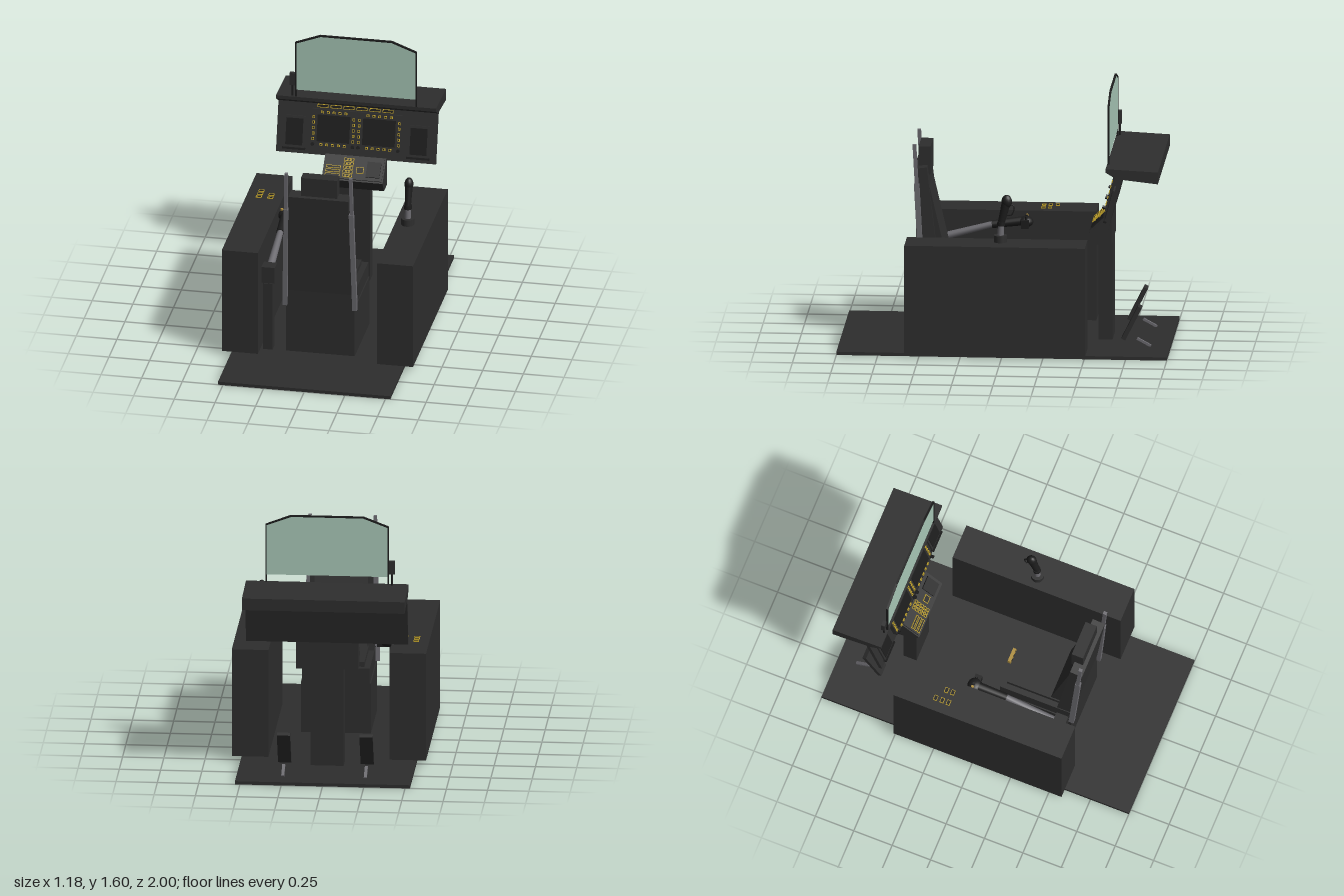
import * as THREE from 'three';

const mat = (name, color, extra = {}) => Object.assign(new THREE.MeshStandardMaterial({ color, ...extra }), { name });

export function createModel() {
  const dark = mat('charcoal', 0x2e2e2e);
  const black = mat('black', 0x1d1d1d);
  const grey = mat('rail grey', 0x6c6b70);
  const yellow = mat('marking yellow', 0xc9a92c);
  const gold = mat('handle gold', 0xb08f3e);
  const glassMat = mat('pale green glass', 0xa9c9b8);

  const model = new THREE.Group();
  const add = (name, geo, material, parent = model) => {
    const m = new THREE.Mesh(geo, material);
    m.name = name;
    parent.add(m);
    return m;
  };
  const group = (name, parent = model) => {
    const g = new THREE.Group();
    g.name = name;
    parent.add(g);
    return g;
  };
  // box given by its ranges on each axis
  const box = (name, x0, x1, y0, y1, z0, z1, material = dark, parent = model) => {
    const m = add(name, new THREE.BoxGeometry(x1 - x0, y1 - y0, z1 - z0), material, parent);
    m.position.set((x0 + x1) / 2, (y0 + y1) / 2, (z0 + z1) / 2);
    return m;
  };
  const shapeOf = pts => new THREE.Shape(pts.map(p => new THREE.Vector2(...p)));
  const extrude = (shape, depth) => new THREE.ExtrudeGeometry(shape, { depth, bevelEnabled: false });
  // side profile of (z, y) points, extruded across x and centred
  const profile = (name, pts, width, material = dark, parent = model) => {
    const geo = extrude(shapeOf(pts), width).rotateY(-Math.PI / 2).translate(width / 2, 0, 0);
    return add(name, geo, material, parent);
  };
  // bar or round rod between two points
  const rod = (name, a, b, r, material, parent = model, r2 = r, sides = 16) => {
    const p = new THREE.Vector3(...a), q = new THREE.Vector3(...b), d = q.clone().sub(p);
    const m = add(name, new THREE.CylinderGeometry(r2, r, d.length(), sides), material, parent);
    m.position.copy(p).add(q).multiplyScalar(0.5);
    m.quaternion.setFromUnitVectors(new THREE.Vector3(0, 1, 0), d.normalize());
    return m;
  };
  const bar = (name, a, b, w, t, material, parent = model) => {
    const m = rod(name, a, b, 1, material, parent);
    const len = new THREE.Vector3(...a).distanceTo(new THREE.Vector3(...b));
    m.geometry = new THREE.BoxGeometry(w, len, t);
    return m;
  };
  // dark key with a thin yellow outline, lying in the xy plane facing +z
  const key = (parent, x, y, z, w, h, t = 0.003) => {
    box('key', x - w / 2 + t, x + w / 2 - t, y - h / 2 + t, y + h / 2 - t, z, z + 0.004, black, parent);
    const s = shapeOf([[-w / 2, -h / 2], [w / 2, -h / 2], [w / 2, h / 2], [-w / 2, h / 2]]);
    const a = w / 2 - t, b = h / 2 - t;
    s.holes.push(new THREE.Path([[-a, -b], [-a, b], [a, b], [a, -b]].map(p => new THREE.Vector2(...p))));
    add('keyOutline', extrude(s, 0.006), yellow, parent).position.set(x, y, z);
  };

  // floor and side consoles
  box('floor', -0.53, 0.53, 0, 0.02, -1, 1);
  box('rightConsole', -0.588, -0.366, 0.025, 0.7, -0.508, 0.585);
  box('leftConsole', 0.366, 0.588, 0.025, 0.7, -0.508, 0.585);
  const consoleKeys = group('consoleKeys');
  consoleKeys.rotation.x = -Math.PI / 2;
  for (const [x, z] of [[-0.51, -0.265], [-0.51, -0.222], [-0.51, -0.182], [-0.44, -0.222], [-0.44, -0.182]])
    key(consoleKeys, x, -z, 0.7, 0.034, 0.024);

  // centre pedestal with sloped keypad
  box('pedestal', -0.1, 0.1, 0.02, 0.635, -0.64, -0.555);
  profile('pedestalHead', [[-0.503, 0.7], [-0.55, 0.63], [-0.64, 0.63], [-0.64, 0.81], [-0.625, 0.815]], 0.375);
  const keypad = group('keypad');
  keypad.position.set(0, 0.7, -0.503);
  keypad.rotation.x = -0.815;
  box('keypadPlate', -0.18, 0.18, 0.01, 0.155, 0, 0.008, dark, keypad);
  for (let r = 0; r < 5; r++) {
    for (let c = 0; c < 3; c++) key(keypad, -0.055 + c * 0.021, 0.03 + r * 0.026, 0.008, 0.018, 0.02);
    if (r < 3) key(keypad, -0.125, 0.03 + r * 0.026, 0.008, 0.09, 0.018);
  }
  key(keypad, 0.04, 0.07, 0.008, 0.045, 0.04);
  box('keypadScreen', 0.08, 0.165, 0.03, 0.13, 0.008, 0.016, black, keypad);

  // tilted instrument panel
  const panel = group('instrumentPanel');
  panel.position.set(0, 0.808, -0.622);
  panel.rotation.x = -0.26;
  box('panelBoard', -0.491, 0.491, -0.005, 0.32, -0.022, 0, dark, panel);
  for (const s of [-1, 1]) {
    const side = group('sideDisplay', panel);
    side.position.x = s * 0.382;
    box('sideBezel', -0.065, 0.065, 0.03, 0.225, 0, 0.012, dark, side);
    box('sideScreen', -0.052, 0.052, 0.045, 0.21, 0.012, 0.016, black, side);
    box('sideLedge', -0.07, 0.07, 0.018, 0.03, 0, 0.02, black, side);

    // main display with five keys along each edge
    const mfd = group('mainDisplay', panel);
    mfd.position.set(s * 0.14, 0.165, 0);
    box('displayBezel', -0.137, 0.137, -0.115, 0.115, 0, 0.03, dark, mfd);
    box('displayScreen', -0.1, 0.1, -0.082, 0.082, 0.03, 0.034, black, mfd);
    for (let i = -2; i <= 2; i++)
      for (const e of [-1, 1]) {
        key(mfd, i * 0.036, e * 0.1, 0.03, 0.017, 0.014);
        key(mfd, e * 0.123, i * 0.034, 0.03, 0.014, 0.017);
      }
    for (const e of [-1, 1])
      rod('displayKnob', [e * 0.123, -0.1, 0.03], [e * 0.123, -0.1, 0.05], 0.01, black, mfd);
  }
  for (let i = 0; i < 6; i++) key(panel, -0.215 + i * 0.08, 0.298, 0.004, 0.065, 0.02);

  // glare shield
  profile('glareShield', [[-0.627, 1.174], [-0.627, 1.152], [-0.69, 1.113], [-0.943, 1.085], [-0.943, 1.158]], 0.985);

  // head-up glass and its frame
  const hud = group('headUpDisplay');
  hud.position.z = -0.642;
  const glass = shapeOf([[-0.366, 1.22], [0.366, 1.22], [0.366, 1.53], [0.218, 1.586], [-0.218, 1.586], [-0.366, 1.53]]);
  add('glass', extrude(glass, 0.006), glassMat, hud).position.z = 0.003;
  const frame = shapeOf([[-0.374, 1.165], [-0.366, 1.165], [-0.366, 1.531], [-0.218, 1.587], [0.218, 1.587], [0.366, 1.531],
    [0.366, 1.165], [0.374, 1.165], [0.374, 1.538], [0.221, 1.597], [-0.221, 1.597], [-0.374, 1.538]]);
  add('glassFrame', extrude(frame, 0.012), black, hud);

  // small standby instrument beside the glass
  rod('standbyPost', [-0.394, 1.165, -0.648], [-0.394, 1.25, -0.648], 0.006, black);
  box('standbyInstrument', -0.411, -0.376, 1.245, 1.325, -0.66, -0.638, dark);

  // seat
  const seat = group('seat');
  box('seatBase', -0.212, 0.212, 0.02, 0.335, 0.03, 0.495, dark, seat);
  box('seatPan', -0.205, 0.205, 0.335, 0.43, 0.03, 0.495, dark, seat);
  box('seatCushion', -0.17, 0.17, 0.43, 0.46, 0.063, 0.45, dark, seat);
  const shell = profile('backrestShell', [[0.5, 0.43], [0.556, 1.08], [0.478, 1.09], [0.4, 0.43]], 0.4, dark, seat);
  const p = shell.geometry.attributes.position;
  for (let i = 0; i < p.count; i++) p.setX(i, p.getX(i) * (1 - 0.08 * (p.getY(i) - 0.43) / 0.65));
  shell.geometry.computeVertexNormals();
  profile('backCushion', [[0.47, 0.46], [0.5, 0.985], [0.467, 0.985], [0.345, 0.46]], 0.325, dark, seat);
  box('headrest', -0.112, 0.112, 1.03, 1.203, 0.46, 0.533, dark, seat);
  box('pullHandle', -0.045, 0.045, 0.43, 0.462, 0.016, 0.036, gold, seat);
  for (const x of [-0.025, 0.005, 0.035])
    box('handleStripe', x - 0.006, x + 0.006, 0.429, 0.455, 0.0155, 0.0365, black, seat);
  for (const s of [-1, 1]) {
    bar('seatRail', [s * 0.216, 0.335, 0.5], [s * 0.198, 1.235, 0.552], 0.02, 0.022, grey, seat);
    bar('railSleeve', [s * 0.215, 0.335, 0.502], [s * 0.2, 0.99, 0.538], 0.028, 0.032, grey, seat);
  }

  // rudder pedals
  for (const s of [-1, 1]) {
    const pedal = box('pedal', -0.04, 0.04, -0.112, 0.112, -0.013, 0.013);
    pedal.position.set(s * 0.25, 0.168, -0.769);
    pedal.rotation.x = -0.465;
    bar('pedalArm', [s * 0.25, 0.068, -0.8], [s * 0.25, 0.022, -0.884], 0.018, 0.014, grey);
  }

  // throttle on its post
  const throttle = group('throttle');
  box('throttlePost', -0.35, -0.292, 0.02, 0.46, 0.44, 0.5, dark, throttle);
  box('throttlePivot', -0.36, -0.278, 0.465, 0.57, 0.428, 0.505, dark, throttle);
  rod('throttleArm', [-0.32, 0.535, 0.44], [-0.32, 0.625, 0.11], 0.024, grey, throttle, 0.019);
  rod('throttleGrip', [-0.32, 0.622, 0.12], [-0.325, 0.645, -0.06], 0.024, black, throttle, 0.028);
  const head = add('throttleHead', new THREE.SphereGeometry(1, 16, 10), black, throttle);
  head.scale.set(0.048, 0.034, 0.045);
  head.position.set(-0.325, 0.642, -0.085);
  box('thumbRest', -0.32, -0.26, 0.61, 0.66, -0.105, -0.06, black, throttle);
  for (const x of [-0.35, -0.33, -0.285])
    rod('throttleSwitch', [x, 0.65, -0.09], [x, 0.682, -0.09], 0.008, x < -0.34 ? gold : black, throttle);

  // side stick
  const stick = group('sideStick');
  stick.position.set(0.444, 0.7, 0.013);
  rod('stickBase', [0, 0, 0], [0, 0.042, 0], 0.04, dark, stick, 0.04, 24);
  rod('stickShaft', [0, 0.04, 0], [0, 0.115, -0.004], 0.02, grey, stick, 0.017);
  rod('gripFlange', [0, 0.1, -0.003], [0, 0.125, -0.005], 0.024, black, stick);
  const grip = rod('stickGrip', [0, 0.12, -0.005], [0, 0.245, -0.035], 0.021, black, stick, 0.027);
  grip.scale.x = 0.9;
  const top = add('gripHead', new THREE.SphereGeometry(1, 16, 10), black, stick);
  top.scale.set(0.027, 0.042, 0.032);
  top.position.set(0, 0.25, -0.038);
  const guard = new THREE.CatmullRomCurve3([[0, 0.165, -0.03], [0, 0.17, -0.068], [0, 0.22, -0.082], [0, 0.235, -0.055]]
    .map(v => new THREE.Vector3(...v)));
  add('triggerGuard', new THREE.TubeGeometry(guard, 16, 0.004, 6), black, stick);

  return model;
}
